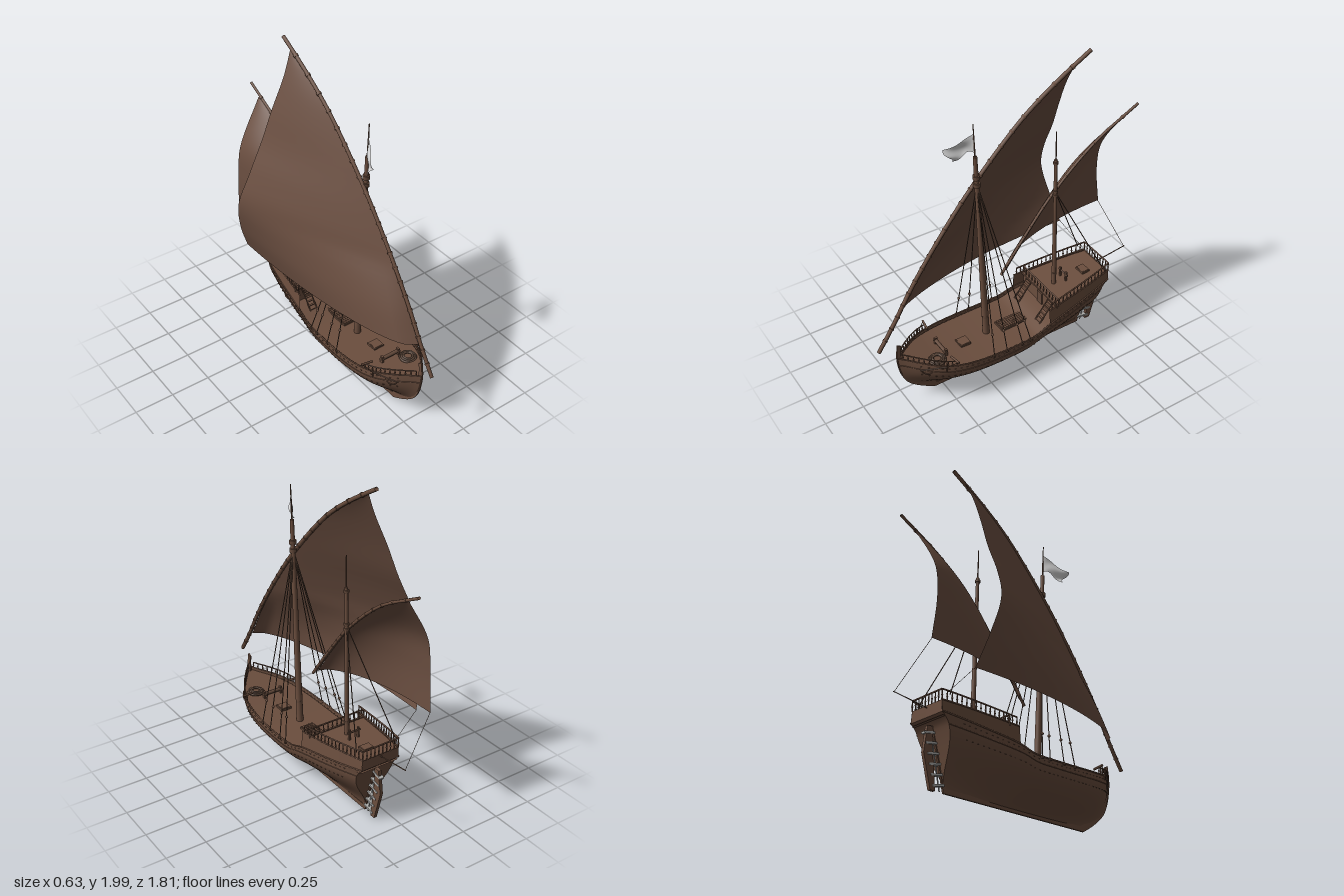
import * as THREE from 'three';

const V = (x, y, z) => new THREE.Vector3(x, y, z);
const mat = (name, color) => {
  const m = new THREE.MeshStandardMaterial({ color, side: THREE.DoubleSide });
  m.name = name;
  return m;
};
const lerp = THREE.MathUtils.lerp;

// smooth lookup in rows of [key, value], keys ascending
function look(rows, k) {
  const n = rows.length - 1;
  let i = 0;
  while (i < n - 1 && k > rows[i + 1][0]) i++;
  const slope = j => {
    const a = rows[Math.max(0, j - 1)], b = rows[Math.min(n, j + 1)];
    return (b[1] - a[1]) / (b[0] - a[0]);
  };
  const [k0, v0] = rows[i], [k1, v1] = rows[i + 1], h = k1 - k0;
  const t = THREE.MathUtils.clamp((k - k0) / h, 0, 1), t2 = t * t, t3 = t2 * t;
  return v0 * (2 * t3 - 3 * t2 + 1) + v1 * (3 * t2 - 2 * t3)
    + h * (slope(i) * (t3 - 2 * t2 + t) + slope(i + 1) * (t3 - t2));
}

// hull lines: half width and sheer height by z, stem and stern by height fraction
const WIDTH = [[-.65, .13], [-.5, .16], [-.3, .19], [-.1, .212], [.1, .22], [.35, .212], [.5, .187], [.6, .147], [.7, .076], [.75, .032], [.79, .004]];
const SHEER = [[-.65, .4], [-.4, .36], [-.15, .32], [-.05, .288], [.1, .283], [.3, .288], [.5, .305], [.65, .335], [.79, .365]];
const STEM = [[0, .55], [.14, .635], [.33, .72], [.55, .765], [.82, .787], [1, .79]];
const STERN = [[0, -.51], [.85, -.6], [1, -.645]];
const width = z => Math.max(.002, look(WIDTH, z)), sheer = z => look(SHEER, z);
const deckY = z => sheer(z) - .02;
const poopY = z => lerp(.412, .454, (-.15 - z) / .5);
const poopW = z => width(z) * .95;

function hullPoint(s, t, side) {
  const top = lerp(.79, -.645, s);
  const z = lerp(look(STEM, t), look(STERN, t), s);
  const p = 1.1 + .7 * s ** 4 + .3 * (1 - s) ** 4;
  const w = width(top) * Math.sin(Math.min(1, t / .85) * Math.PI / 2) ** p;
  return V(side * w, .02 + t * (sheer(top) - .02), z);
}

export function createModel() {
  const wood = mat('brown wood', 0x6b4e3e), cloth = mat('brown sailcloth', 0x6a4e40);
  const dark = mat('dark timber', 0x644a3b), cord = mat('dark rope', 0x5a4538);
  const metal = mat('grey iron', 0xb4b4b2), white = mat('pale flag cloth', 0xd6d6d6);
  const model = new THREE.Group(), ship = new THREE.Group();
  model.name = 'sailingShip';
  ship.name = 'hullAndMasts';
  ship.position.x = .083;
  model.add(ship);

  const add = (name, geo, m, parent = ship) => {
    const mesh = new THREE.Mesh(geo, m);
    mesh.name = name;
    parent.add(mesh);
    return mesh;
  };
  // grid surface from a rule (u, v) -> point
  const surface = (name, fn, nu, nv, m, parent) => {
    const pos = [], idx = [];
    for (let i = 0; i <= nu; i++) for (let j = 0; j <= nv; j++) {
      pos.push(...fn(i / nu, j / nv).toArray());
      if (i < nu && j < nv) {
        const a = i * (nv + 1) + j, b = a + nv + 1;
        idx.push(a, b, a + 1, b, b + 1, a + 1);
      }
    }
    const g = new THREE.BufferGeometry();
    g.setAttribute('position', new THREE.Float32BufferAttribute(pos, 3));
    g.setIndex(idx);
    g.computeVertexNormals();
    return add(name, g, m, parent);
  };
  const rod = (name, a, b, r0, r1, m, parent, sides = 6) => {
    const mesh = add(name, new THREE.CylinderGeometry(r1, r0, a.distanceTo(b), sides), m, parent);
    mesh.position.copy(a).lerp(b, .5);
    mesh.quaternion.setFromUnitVectors(V(0, 1, 0), b.clone().sub(a).normalize());
    return mesh;
  };
  const rope = (a, b, parent, r = .002) => rod('rope', a, b, r, r, cord, parent, 5);
  const box = (name, w, h, d, x, y, z, m = wood) => {
    const mesh = add(name, new THREE.BoxGeometry(w, h, d), m);
    mesh.position.set(x, y, z);
    return mesh;
  };
  const tube = (name, pts, r, m, parent, n = 48) =>
    add(name, new THREE.TubeGeometry(new THREE.CatmullRomCurve3(pts), n, r, 6), m, parent);
  const steps = (n, fn) => Array.from({ length: n + 1 }, (_, i) => fn(i / n));
  // upright plate drawn as [z, y] points
  const plate = (name, pts, thick, m) => {
    const shape = new THREE.Shape(pts.map(p => new THREE.Vector2(...p)));
    const g = new THREE.ExtrudeGeometry(shape, { depth: thick, bevelEnabled: false });
    g.translate(0, 0, -thick / 2).rotateY(-Math.PI / 2);
    return add(name, g, m);
  };

  // hull sides, wales, studs and sheer rails
  for (const side of [-1, 1]) {
    surface('hullSide', (u, v) => hullPoint(u, v, side), 56, 18, wood);
    for (const [t, r] of [[.84, .003], [1, .005]])
      tube('wale', steps(30, s => hullPoint(s, t, side)), r, wood);
    for (const t of [.7, .92]) for (let i = 3; i < 38; i++) {
      const p = hullPoint(i / 40, t, side);
      box('hullStud', .006, .003, .01, p.x, p.y, p.z, dark);
    }
    surface('poopSide', (u, v) => {
      const z = lerp(-.15, -.645, u);
      return V(side * lerp(width(z), poopW(z), v), lerp(sheer(z) - .01, poopY(z) + .012, v), z);
    }, 16, 2, wood);
    tube('poopWale', steps(12, u => {
      const z = lerp(-.15, -.645, u);
      return V(side * poopW(z), poopY(z) + .012, z);
    }), .005, wood);
  }
  surface('transom', (u, v) => hullPoint(1, v, u * 2 - 1), 2, 18, wood);
  surface('upperTransom', (u, v) => V((u * 2 - 1) * lerp(.13, .1235, v), lerp(.395, .464, v), -.645), 2, 2, wood);
  surface('mainDeck', (u, v) => {
    const z = lerp(.77, -.64, u);
    return V((v * 2 - 1) * width(z) * .97, deckY(z), z);
  }, 40, 2, wood);
  surface('poopDeck', (u, v) => {
    const z = lerp(-.22, -.645, u);
    return V((v * 2 - 1) * poopW(z), poopY(z), z);
  }, 12, 2, wood);
  surface('poopBulkhead', (u, v) => V((u * 2 - 1) * poopW(-.22), lerp(.29, poopY(-.22), v), -.22), 2, 1, wood);
  box('deckBeam', .39, .012, .012, 0, poopY(-.22), -.216, dark);
  box('cabinDoor', .05, .085, .008, 0, .355, -.216, dark);

  // keel with curved stem, and stern post
  const stem = steps(14, t => [look(STEM, t) + .006, .006 + t * .38]).reverse();
  const inner = steps(14, t => [look(STEM, t) - .022, .035 + t * .365]);
  plate('keelAndStem', [[.762, .45], [.785, .462], ...stem, [-.515, .006], [-.607, .36], [-.59, .36], [-.495, .035], ...inner], .011, wood);

  // rudder with iron straps
  plate('rudder', [[-.575, .005], [-.61, .005], [-.662, .2], [-.642, .35], [-.605, .355], [-.605, .25]], .02, wood);
  for (let i = 0; i < 6; i++) {
    const y = .04 + i * .055;
    box('rudderStrap', .028, .012, .08, 0, y, -.545 - y * .25, metal).rotation.x = -.2;
  }
  rod('rudderPin', V(0, .01, -.54), V(0, .34, -.615), .004, .004, metal);
  rod('tiller', V(0, .345, -.62), V(0, .37, -.58), .007, .007, dark);

  // railings: posts on a path, with a top rail
  const railing = (name, pts, h, r = .005) => {
    const g = new THREE.Group();
    g.name = name;
    ship.add(g);
    const up = pts.map((p, i) => p.clone().setY(p.y + lerp(h[0], h[1], i / (pts.length - 1))));
    pts.forEach((p, i) => {
      rod('railPost', p, up[i], .004, .003, wood, g);
      const knob = add('railKnob', new THREE.SphereGeometry(.006, 6, 5), wood, g);
      knob.position.copy(p).lerp(up[i], .45);
    });
    for (let i = 1; i < up.length; i++) rod('topRail', up[i - 1], up[i], r, r, wood, g);
  };
  for (const side of [-1, 1]) {
    railing('poopRail', steps(16, u => {
      const z = lerp(-.17, -.645, u);
      return V(side * poopW(z), poopY(z) + .008, z);
    }), [.05, .062]);
    railing('bowRail', steps(11, u => {
      const z = lerp(.5, .765, u);
      return V(side * width(z), sheer(z), z);
    }), [.038, .038], .004);
  }
  railing('sternRail', steps(9, u => V(lerp(-.123, .123, u), .462, -.645)), [.062, .062]);
  railing('poopFrontRail', steps(12, u => V(lerp(-.19, .19, u), poopY(-.22), -.22)), [.055, .055]);

  // ladders to the poop
  for (const x of [-.117, .117]) {
    for (const dx of [-.024, .024]) rod('ladderSide', V(x + dx, .275, -.11), V(x + dx, .42, -.22), .004, .004, dark);
    for (let i = 1; i < 7; i++) box('ladderStep', .048, .005, .012, x, .275 + i * .021, -.11 - i * .016);
  }

  // hatches and grating
  const hatch = (x, y, z, w, d) => {
    box('hatchCoaming', w, .014, d, x, y + .006, z, dark);
    box('hatchCover', w * .85, .018, d * .88, x, y + .006, z);
  };
  hatch(.01, deckY(.35), .35, .07, .07);
  hatch(.015, poopY(-.53), -.53, .07, .055);
  box('gratingFrame', .09, .014, .19, .008, deckY(0) + .005, 0, dark);
  for (let i = 0; i < 12; i++) box('gratingBar', .08, .006, .007, .008, deckY(0) + .014, -.082 + i * .015);
  for (let i = 0; i < 5; i++) box('gratingBar', .006, .005, .18, -.024 + i * .016, deckY(0) + .014, 0);

  // rope coil, windlass and mizzen bitts
  for (let i = 0; i < 3; i++) {
    const coil = add('ropeCoil', new THREE.TorusGeometry(.048 - i * .01, .007, 6, 20), cord);
    coil.rotation.x = Math.PI / 2;
    coil.position.set(.08, deckY(.57) + .008 + i * .005, .57);
  }
  rod('windlass', V(-.07, .312, .5), V(.07, .312, .5), .012, .012, dark, ship, 8);
  for (const x of [-.06, .06]) {
    box('windlassPost', .012, .05, .02, x, .308, .5);
    box('bitt', .012, .08, .012, x * .5, .46, -.39, dark);
  }
  rod('bittBar', V(-.045, .48, -.39), V(.045, .48, -.39), .006, .006, dark);

  // anchors lying against the bow, hung from catheads
  for (const side of [-1, 1]) {
    const a = V(side * (width(.69) + .006), .285, .69), b = V(side * (width(.56) + .01), .315, .56);
    rod('anchorShank', a, b, .004, .004, dark);
    const arms = add('anchorArms', new THREE.TorusGeometry(.035, .004, 6, 14, Math.PI), dark);
    arms.position.copy(a).lerp(b, .27);
    arms.rotation.order = 'YXZ';
    arms.rotation.set(0, side > 0 ? 1.05 : Math.PI - 1.05, Math.PI);
    rod('anchorStock', b.clone().add(V(0, -.03, 0)), b.clone().add(V(0, .03, 0)), .005, .005, wood);
    rod('cathead', V(side * .14, .345, .51), V(side * .215, .35, .5), .007, .007, wood);
    rope(V(side * .21, .35, .5), b);
  }

  // masts
  const mainAt = y => V(0, y, lerp(.18, .245, (y - .27) / 1.52));
  const mizAt = y => V(0, y, lerp(-.32, -.3, (y - .42) / 1.13));
  rod('mainMast', mainAt(.26), mainAt(1.58), .022, .012, wood, ship, 12);
  rod('flagPole', mainAt(1.5), mainAt(1.79), .006, .003, wood);
  rod('mizzenMast', mizAt(.4), mizAt(1.36), .015, .01, wood, ship, 12);
  rod('mizzenPole', mizAt(1.3), mizAt(1.55), .005, .003, wood);
  for (const y of [.38, 1.38, 1.43]) rod('mastBand', mainAt(y), mainAt(y + .025), .021, .021, dark, ship, 12);
  for (const y of [.5, 1.1, 1.13, 1.33]) rod('mizzenBand', mizAt(y), mizAt(y + .015), .016, .016, dark, ship, 12);

  // shrouds with deadeyes, backstays and bumpkin
  for (const side of [-1, 1]) {
    for (const z of [.26, .17, .06, 0]) {
      const foot = V(side * (width(z) + .003), sheer(z), z), head = mainAt(1.4);
      rope(foot, head, ship, .003);
      add('deadeye', new THREE.SphereGeometry(.009, 8, 6), wood).position.copy(foot).lerp(head, .13);
      box('chainPlate', .01, .016, .016, foot.x, foot.y - .005, z, dark);
    }
    rope(V(side * .135, .5, -.6), mizAt(1.13), ship, .003);
  }
  rod('bumpkin', V(0, .445, -.6), V(0, .48, -.87), .004, .003, wood);

  // lateen rigs: curved yard with lashings, and a sail bellied to the right
  const lateen = (name, YARD, peak, foot, LX, LZ, belly, r, ties) => {
    const g = new THREE.Group();
    g.name = name;
    model.add(g);
    const y0 = YARD[0][0], y1 = YARD[YARD.length - 1][0];
    const at = y => V(.063, y, look(YARD, y));
    tube('yard', steps(16, t => at(lerp(y0, y1, t))), r, wood, g, 40);
    tube('headRope', steps(16, t => at(lerp(foot(0), peak, t)).add(V(0, -.006, -.012 * (1 - t)))), .003, cord, g, 40);
    for (let i = 1; i < ties; i++) {
      const y = lerp(y0, y1, i / ties);
      rod('yardLashing', at(y - .004), at(y + .004), r * 1.2, r * 1.2, wood, g, 8);
    }
    surface('sail', (u, v) => {
      const y = lerp(foot(u), peak, v), yl = lerp(foot(0), peak, v);
      return V(lerp(.06, look(LX, y), belly(u, v)), y, lerp(look(YARD, yl) - .02 * (1 - v), look(LZ, y), u));
    }, 32, 32, cloth, g);
    return g;
  };
  const round = (u, p) => Math.sin(u * Math.PI / 2) ** p;
  const main = lateen('mainRig',
    [[.45, .895], [.61, .79], [.82, .665], [1.1, .468], [1.38, .24], [1.69, -.07], [1.85, -.29], [1.99, -.53]],
    1.945, u => .61 + .01 * Math.sin(u * Math.PI),
    [[.61, -.22], [.8, -.285], [1.02, -.317], [1.22, -.25], [1.42, -.16], [1.62, -.085], [1.945, .055]],
    [[.61, -.575], [.8, -.535], [1, -.49], [1.2, -.458], [1.4, -.45], [1.6, -.44], [1.8, -.43], [1.945, -.45]],
    (u, v) => lerp(round(u, .5), lerp(u, round(u, 1), .4), Math.min(1, v / .3)), .0125, 22);
  const mizzen = lateen('mizzenRig',
    [[.65, .058], [.88, -.115], [1.125, -.32], [1.365, -.6], [1.525, -.9]],
    1.47, u => .738 - .05 * (1 - u) ** 3,
    [[.68, -.12], [.738, -.13], [1, -.135], [1.2, -.105], [1.47, .055]],
    [[.68, -.805], [.738, -.803], [1, -.78], [1.2, -.783], [1.47, -.81]],
    (u, v) => round(u, .5 + .5 * v), .009, 16);

  // sheets from the sail corners
  rope(V(-.22, .61, -.575), V(-.04, .5, -.62), main, .0012);
  rope(V(-.13, .738, -.8), V(.083, .48, -.865), mizzen, .0015);

  // drooping flag with folds
  surface('flag', (u, v) => V(
    -.075 * u ** .8 + .014 * Math.sin(u * 5 + v * 5) * u,
    lerp(1.73 - .1 * u ** .7, 1.61 - .07 * u ** 1.5, v) + .008 * Math.sin(u * 6),
    .243 + u * lerp(.142, .095, v) + .012 * Math.sin(v * 6) * u), 20, 12, white);
  return model;
}
